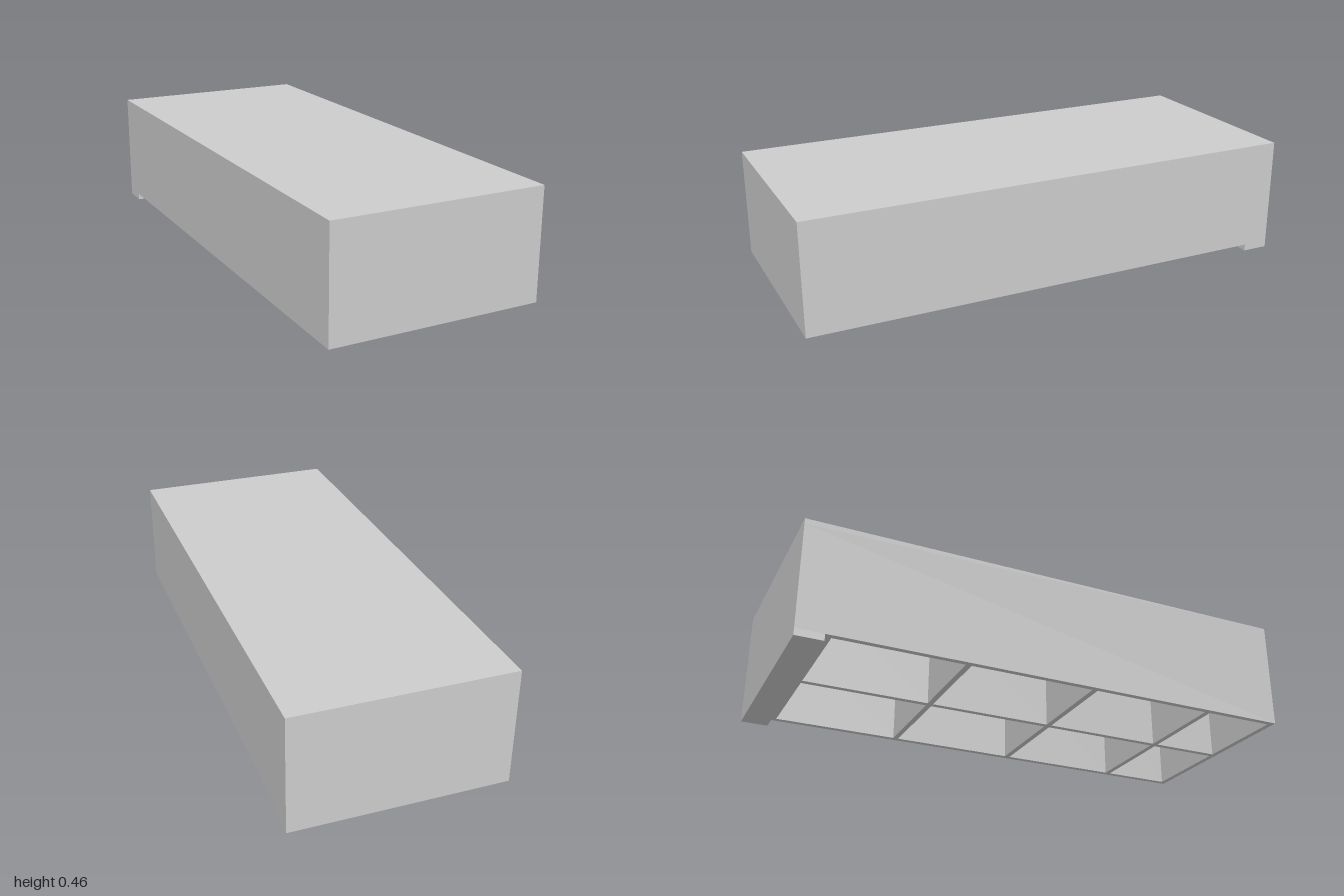
import * as THREE from 'three';

const W = 0.84, H = 0.463, L = 2;   // overall size
const FOOT_H = 0.027, FOOT_D = 0.107; // lip under the back edge
const WALL = 0.022, TOP = 0.022;

export function createModel() {
  const group = new THREE.Group();
  group.name = 'ribbedBlock';
  const material = new THREE.MeshStandardMaterial({ color: 0xcccccc, flatShading: true });

  const add = (name, geometry, y, z = 0) => {
    const mesh = new THREE.Mesh(geometry, material);
    mesh.name = name;
    mesh.position.set(0, y, z);
    group.add(mesh);
  };

  // Rectangle in plan; shape y is -z
  const rect = (path, x0, x1, z0, z1) => {
    path.moveTo(x0, -z0);
    path.lineTo(x0, -z1);
    path.lineTo(x1, -z1);
    path.lineTo(x1, -z0);
    path.closePath();
    return path;
  };

  // Outer walls and ribs: two columns of pockets open at the bottom, the front row shorter
  const plan = rect(new THREE.Shape(), -W / 2, W / 2, -L / 2, L / 2);
  const rows = [[-0.865, -0.365], [-0.343, 0.157], [0.179, 0.671], [0.693, L / 2 - WALL]];
  for (const [z0, z1] of rows) {
    plan.holes.push(rect(new THREE.Path(), WALL / 2, W / 2 - WALL, z0, z1));
    plan.holes.push(rect(new THREE.Path(), WALL - W / 2, -WALL / 2, z0, z1));
  }
  const walls = new THREE.ExtrudeGeometry(plan, { depth: H - TOP - FOOT_H, bevelEnabled: false });
  walls.rotateX(-Math.PI / 2);
  add('wallsAndRibs', walls, FOOT_H);

  // Closed top panel
  add('topPanel', new THREE.BoxGeometry(W, TOP, L), H - TOP / 2);

  // Lip along the back bottom edge
  add('backFoot', new THREE.BoxGeometry(W, FOOT_H, FOOT_D), FOOT_H / 2, -L / 2 + FOOT_D / 2);

  return group;
}
